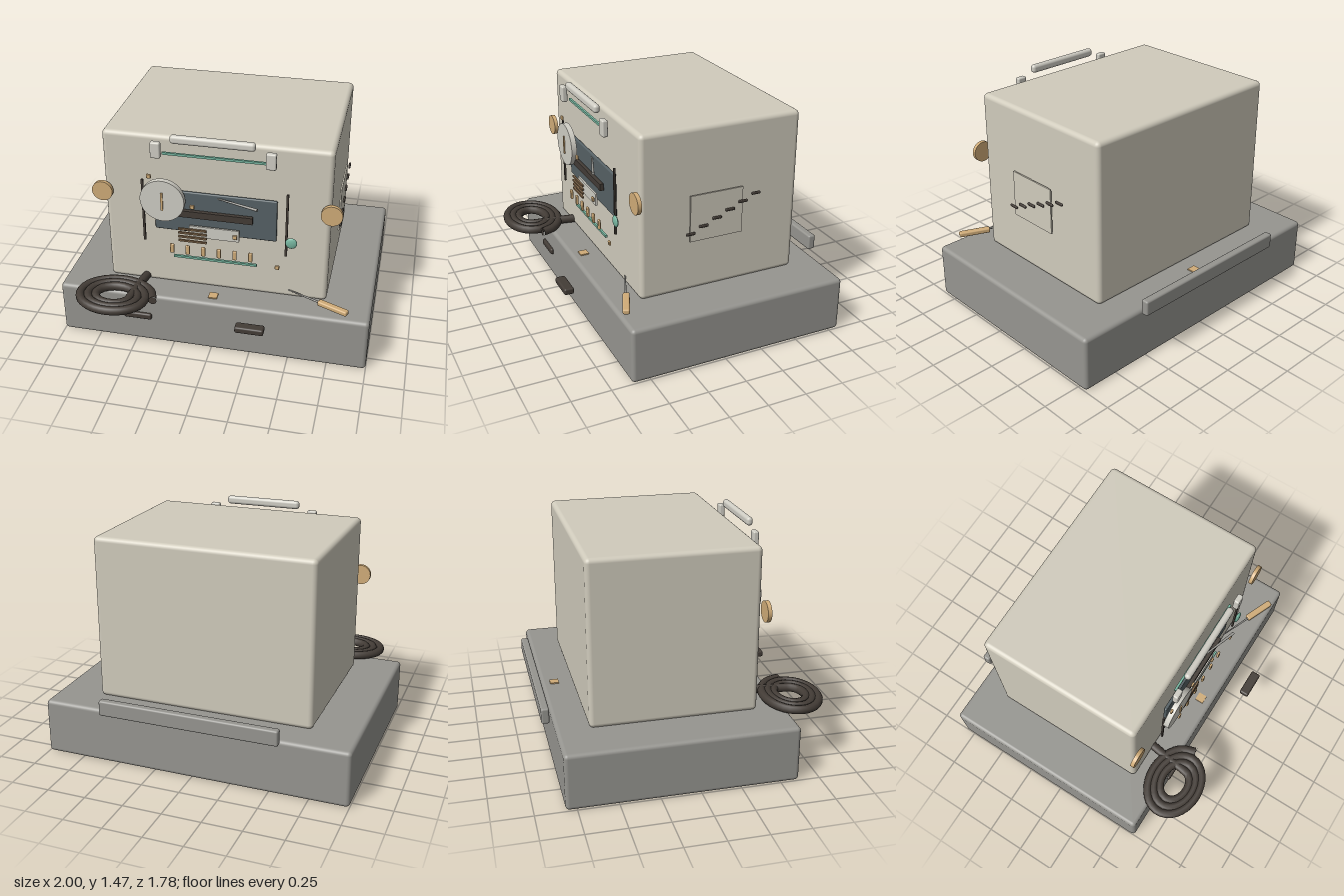
import * as THREE from 'three';
import { RoundedBoxGeometry } from 'three/addons/geometries/RoundedBoxGeometry.js';

function mat(name, color) {
  const m = new THREE.MeshStandardMaterial({ color });
  m.name = name;
  return m;
}

export function createModel() {
  const cream = mat('cream', 0xd0cbbc);
  const grey = mat('grey', 0x969590);
  const dark = mat('dark', 0x433c36);
  const tan = mat('tan', 0xd0ac78);
  const teal = mat('teal', 0x76b59f);
  const slate = mat('slate', 0x566165);
  const pale = mat('pale', 0xcfcdc4);
  const brown = mat('brown', 0x7d6448);
  const root = new THREE.Group();

  function add(name, geometry, material, x, y, z) {
    const mesh = new THREE.Mesh(geometry, material);
    mesh.name = name;
    mesh.position.set(x, y, z);
    root.add(mesh);
    return mesh;
  }
  // Box centred on a point, with rounded edges when r is given
  function box(name, material, w, h, d, x, y, z, r = 0) {
    const g = r ? new RoundedBoxGeometry(w, h, d, 3, r) : new THREE.BoxGeometry(w, h, d);
    return add(name, g, material, x, y, z);
  }
  // Disc facing the front
  function disc(name, material, r, depth, x, y, z) {
    const g = new THREE.CylinderGeometry(r, r, depth, 48).rotateX(Math.PI / 2);
    return add(name, g, material, x, y, z);
  }
  // Straight rod between two points
  function rod(name, material, a, b, r0, r1) {
    const p = new THREE.Vector3(...a), q = new THREE.Vector3(...b);
    const dir = q.clone().sub(p), mid = p.clone().add(q).multiplyScalar(0.5);
    const mesh = add(name, new THREE.CylinderGeometry(r1, r0, dir.length(), 12), material, mid.x, mid.y, mid.z);
    mesh.quaternion.setFromUnitVectors(new THREE.Vector3(0, 1, 0), dir.normalize());
    return mesh;
  }

  // Base, cabinet and rear rail
  box('base', grey, 2, 0.36, 1.435, 0, 0.18, -0.1, 0.025);
  box('cabinet', cream, 1.42, 1.06, 1.055, 0, 0.887, -0.092, 0.03);
  box('rearRail', grey, 1.16, 0.1, 0.05, 0, 0.408, -0.865, 0.012);

  // Carrying handle
  box('handleBar', pale, 0.515, 0.055, 0.042, 0, 1.44, 0.507, 0.02);
  for (const s of [-1, 1]) {
    box('handlePost', pale, 0.062, 0.105, 0.036, s * 0.35, 1.358, 0.507, 0.01);
    disc('sideKnob', tan, 0.066, 0.025, s * 0.716, 1.014, 0.466);
    box('sideRod', dark, 0.014, 0.434, 0.012, s * 0.45, 0.917, 0.485);
  }
  box('upperTrim', teal, 0.64, 0.015, 0.014, 0, 1.323, 0.475);
  box('lowerTrim', teal, 0.535, 0.015, 0.014, 0, 0.596, 0.475);

  // Display window with its slot, card and strips
  box('window', slate, 0.77, 0.284, 0.02, 0, 0.922, 0.455, 0.008);
  box('windowSlot', dark, 0.48, 0.045, 0.025, 0, 0.925, 0.485);
  box('card', pale, 0.315, 0.08, 0.012, 0, 0.806, 0.492);
  for (let i = 0; i < 4; i++) {
    box('cardStrip', brown, 0.18, 0.012, 0.012, -0.135, 0.823 - i * 0.028, 0.506);
  }
  rod('needle', grey, [0.015, 1.04, 0.46], [0.28, 1.047, 0.555], 0.005, 0.009);

  // Dial and pointer
  disc('dial', pale, 0.14, 0.035, -0.318, 1.017, 0.508);
  box('dialPointer', tan, 0.014, 0.12, 0.008, -0.318, 1.015, 0.529);

  // Row of keys, diagonal studs and indicator lamp
  for (let i = 0; i < 6; i++) {
    box('key', tan, 0.027, 0.065, 0.016, -0.268 + i * 0.1, 0.672, 0.507, 0.006);
  }
  for (let i = 0; i < 4; i++) {
    box('stud', tan, 0.028, 0.028, 0.014, -0.4 + i * 0.267, 1.173 - i * 0.184, 0.507, 0.005);
  }
  add('lamp', new THREE.SphereGeometry(0.037, 20, 14), teal, 0.482, 0.804, 0.497).scale.z = 0.35;

  // Side panel with stepped slots
  box('sidePanel', cream, 0.01, 0.3, 0.35, 0.732, 0.85, -0.053);
  for (let i = 0; i < 6; i++) {
    box('sideSlot', dark, 0.014, 0.018, 0.062, 0.743, 0.757 + i * 0.0376, 0.123 - i * 0.0874, 0.006);
  }

  // Locating tabs and dark blocks
  for (const z of [-0.735, 0.535]) box('baseTab', tan, 0.057, 0.012, 0.057, 0, 0.362, z);
  box('looseBlock', dark, 0.18, 0.043, 0.064, 0.282, 0.322, 0.768, 0.012);
  box('frontBlock', dark, 0.185, 0.043, 0.064, -0.483, 0.198, 0.605, 0.012);

  // Hand tool lying on the base
  rod('toolTip', grey, [0.46, 0.41, 0.43], [0.67, 0.408, 0.518], 0.004, 0.007);
  box('toolHandle', tan, 0.205, 0.033, 0.042, 0.765, 0.404, 0.553, 0.01).rotation.y = -0.4;

  // Coiled cord leading into the cabinet
  const path = [];
  for (let i = 0; i <= 36; i++) {
    const t = i / 12, a = t * Math.PI * 2, r = 0.25 - 0.05 * t;
    path.push(new THREE.Vector3(-0.604 + r * Math.cos(a), 0.389, 0.7 - 0.75 * r * Math.sin(a)));
  }
  path.push(new THREE.Vector3(-0.49, 0.389, 0.58), new THREE.Vector3(-0.465, 0.389, 0.42));
  const cord = new THREE.CatmullRomCurve3(path);
  add('cord', new THREE.TubeGeometry(cord, 90, 0.028, 10), dark, 0, 0, 0);
  const end = new THREE.CircleGeometry(0.028, 10);
  add('cordEnd', end, dark, path[0].x, path[0].y, path[0].z + 0.001);

  return root;
}
